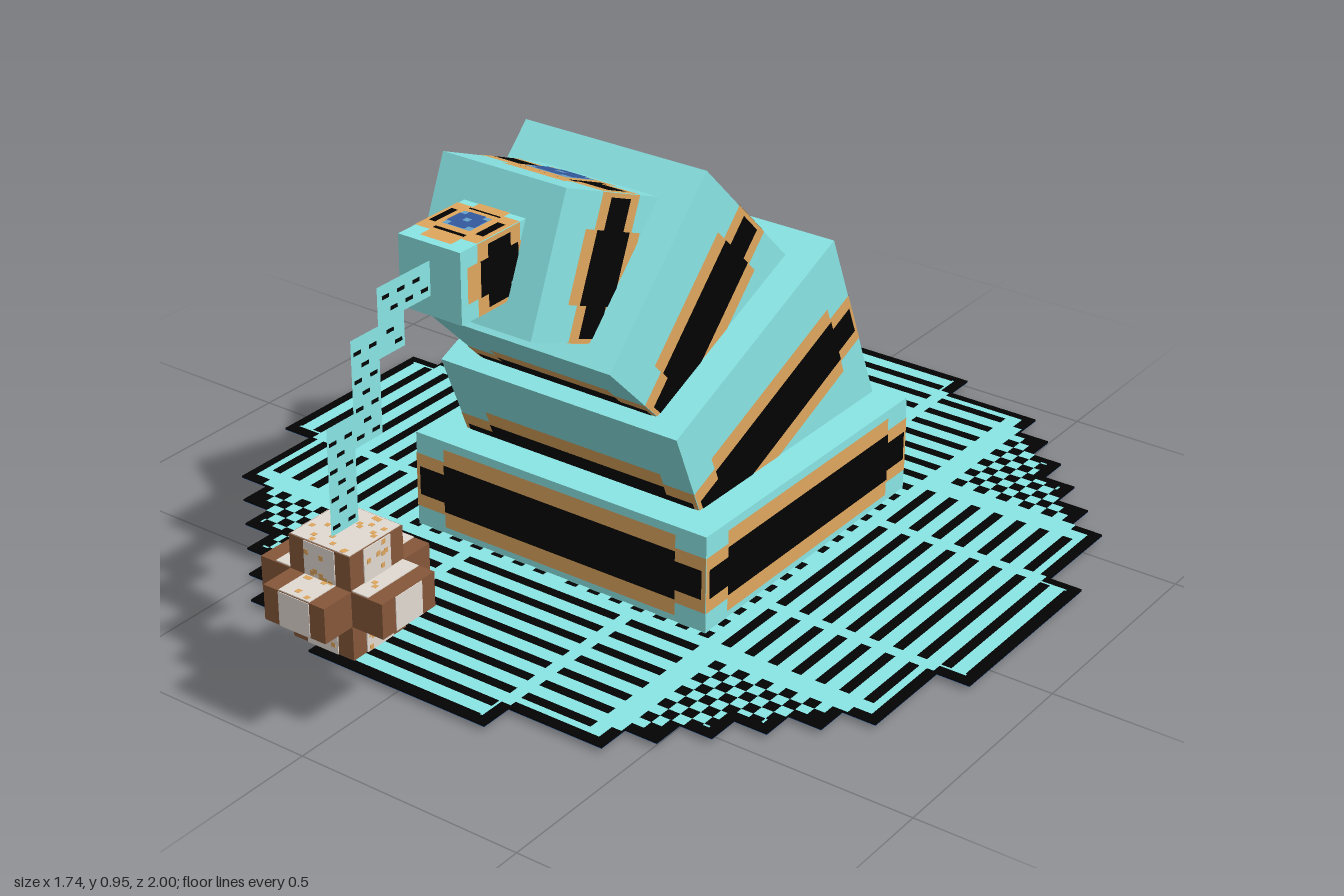
import * as THREE from 'three';
import { mergeGeometries } from 'three/addons/utils/BufferGeometryUtils.js';

const P = 0.03625; // one grid cell
const PIT = 0.285; // half width of the hollow under the base
const colours = {
  teal: 0x8ae5e5, black: 0x030303, orange: 0xe0a75e, blue: 0x33599e, lightBlue: 0x66a3cc,
  brown: 0x85573a, cream: 0xe2dbd2, navy: 0x2b5288, green: 0x6ade92, grey: 0x43454f,
};
const mats = {};

// Collects pieces by colour and joins them into one mesh per colour
class Part {
  constructor(name) {
    this.group = new THREE.Group();
    this.group.name = name;
    this.bins = {};
  }
  add(colour, geometry) {
    (this.bins[colour] ??= []).push(geometry);
  }
  box(colour, w, h, d, x, y, z) {
    this.add(colour, new THREE.BoxGeometry(w, h, d).translate(x, y, z));
  }
  // horizontal rectangle, facing up or down
  flat(colour, x0, x1, z0, z1, y, up = true) {
    this.add(colour, new THREE.PlaneGeometry(x1 - x0, z1 - z0)
      .rotateX(up ? -Math.PI / 2 : Math.PI / 2).translate((x0 + x1) / 2, y, (z0 + z1) / 2));
  }
  build(parent) {
    for (const [colour, list] of Object.entries(this.bins)) {
      const mesh = new THREE.Mesh(mergeGeometries(list), mats[colour]);
      mesh.name = this.group.name + colour[0].toUpperCase() + colour.slice(1);
      this.group.add(mesh);
    }
    parent.add(this.group);
    return this.group;
  }
}

// Square block with a striped band on its four sides and a gem at the back.
// Origin is the middle of the top cap; w, h, gem and frontH are in cells.
function bodySegment(name, w, h, gem, tilt, y, z, parent, frontH = h) {
  const part = new Part(name);
  // the buried end is left open, and its front edge may be shorter
  const block = new THREE.BoxGeometry(w * P, h * P, w * P).translate(0, -h * P / 2, 0);
  const pos = block.attributes.position;
  const buried = tilt ? 0.5 : 0;
  for (let i = 0; i < pos.count; i++)
    if (pos.getY(i) < -0.01) pos.setY(i, -(pos.getZ(i) > 0 ? frontH : h + buried) * P);
  const index = Array.from(block.index.array);
  index.splice(18, 6);
  block.setIndex(index);
  part.add('teal', block);

  const end = Math.min(2, w / 4);
  const tall = Math.min(2.5, h / 2 - 0.4);
  const plate = (side, colour, halfW, halfH, layer, cx = 0, cy = 0) => {
    const top = cy - h / 2 + halfH;
    const bottom = Math.max(cy - h / 2 - halfH, side === 0 ? -frontH : -h);
    part.add(colour, new THREE.PlaneGeometry(2 * halfW * P, (top - bottom) * P)
      .translate(cx * P, (top + bottom) / 2 * P, w * P / 2 + layer * 0.0012)
      .rotateY(side * Math.PI / 2));
  };
  for (let side = 0; side < 4; side++) {
    plate(side, 'orange', w / 2 - end, tall, 1);
    plate(side, 'orange', w / 2, tall - 0.8, 1);
    plate(side, 'black', w / 2 - end, 1.5, 2);
    plate(side, 'black', w / 2 - 0.25, 0.9, 2);
  }
  // gem on the back face
  plate(2, 'orange', gem + 0.4, Math.min(gem + 0.4, tall), 3);
  plate(2, 'lightBlue', gem, gem, 4);
  plate(2, 'blue', gem * 0.6, gem, 5);
  plate(2, 'blue', gem, gem * 0.6, 5);
  plate(2, 'lightBlue', gem * 0.2, gem * 0.2, 6);
  const group = part.build(parent);
  group.position.set(0, y, z);
  group.rotation.x = THREE.MathUtils.degToRad(tilt);
}

// Half width, in cells, of the stepped disc at a distance from the middle
function halfWidth(d) {
  if (d < 6) return 24;
  if (d < 12) return 22;
  if (d < 20) return 2 * (16 - Math.floor(d / 2));
  return d < 22 ? 12 : d < 24 ? 6 : 0;
}

// Whether a square of the disc pattern is teal
function tealSquare(a, b) {
  const far = Math.max(a, b), near = Math.min(a, b);
  if (far < 13) return false;
  if (far === 13) return near % 2 === 0; // dotted rim round the base
  if (far === 14) return true;
  if (near >= 16) return (a + b) % 2 === 1; // chequered corners
  return far % 2 === 0 || near === 7 || near >= 14; // stripes and cross lines
}

function disc(parent) {
  const part = new Part('disc');
  for (let r = -24; r < 24; r++) {
    const d = Math.abs(r + 0.5);
    const hw = halfWidth(d) * P;
    const spans = d < 8 ? [[-hw, -PIT], [PIT, hw]] : [[-hw, hw]];
    for (const [x0, x1] of spans) {
      part.box('black', x1 - x0, 0.004, P, (x0 + x1) / 2, 0.013, (r + 0.5) * P);
      part.flat('navy', x0, x1, r * P, (r + 1) * P, 0.0098, false);
    }
  }
  // inlaid squares; stripes are a little wider than the gaps
  const T = 0.75;
  for (let r = -32; r < 32; r++) for (let c = -32; c < 32; c++) {
    const a = c < 0 ? -c - 1 : c, b = r < 0 ? -r - 1 : r;
    if (!tealSquare(a, b)) continue;
    const wide = Math.min(a, b) < 16 ? 0.08 : 0;
    const gx = a > b ? wide : 0, gz = b > a ? wide : 0;
    const limit = (n, other) => Math.min(n, halfWidth((other + 0.5) * T) - 0.6);
    const x0 = (a - gx) * T, x1 = limit((a + 1 + gx) * T, b);
    const z0 = (b - gz) * T, z1 = limit((b + 1 + gz) * T, a);
    if (x1 <= x0 || z1 <= z0) continue;
    const [xa, xb] = c < 0 ? [-x1, -x0] : [x0, x1];
    const [za, zb] = r < 0 ? [-z1, -z0] : [z0, z1];
    part.flat('teal', xa * P, xb * P, za * P, zb * P, 0.0165);
  }
  part.build(parent).position.z = -0.13;
}

// Hollow under the base: banded inner walls, a ceiling and two tiny feet
function hollow(parent) {
  const part = new Part('hollow');
  const low = 0.0098, high = 0.37;
  for (let k = 0; k < 4; k++) {
    const main = k % 2 ? 'green' : 'lightBlue';
    for (const [colour, y0, y1] of [[main, low, 0.1], ['grey', 0.1, 0.19], [main, 0.19, high]])
      part.add(colour, new THREE.PlaneGeometry(2 * PIT, y1 - y0)
        .translate(0, (y0 + y1) / 2, -PIT).rotateY(k * Math.PI / 2));
  }
  part.flat('cream', -PIT, PIT, -PIT, PIT, high, false);
  for (const s of [-1, 1]) part.box('black', 0.07, 0.012, 0.02, s * 0.255, 0.006, 0.11);
  part.build(parent).position.z = -0.13;
}

// Flat zigzag stalk in the middle plane, as [z0, z1, y0, y1], with small ticks
function stalk(parent) {
  const part = new Part('stalk');
  const pieces = [[0.6, 0.745, 0.78, 0.85], [0.675, 0.745, 0.71, 0.78],
    [0.745, 0.82, 0.56, 0.775], [0.82, 0.893, 0.41, 0.63]];
  const sheet = (colour, z0, z1, y0, y1, x) => {
    for (const s of [-1, 1])
      part.add(colour, new THREE.PlaneGeometry(z1 - z0, y1 - y0)
        .rotateY(s * Math.PI / 2).translate(s * x, (y0 + y1) / 2, (z0 + z1) / 2));
  };
  for (const [z0, z1, y0, y1] of pieces) {
    sheet('teal', z0, z1, y0, y1, 0.0004);
    let odd = false;
    for (let y = y0 + 0.014; y < y1 - 0.01; y += 0.028, odd = !odd)
      for (let z = z0 + (odd ? 0.03 : 0.008); z < z1 - 0.02; z += 0.042)
        sheet('black', z, z + 0.02, y, y + 0.008, 0.0014);
  }
  part.build(parent);
}

// Cross-shaped lure with speckled pale faces and brown edges
function lure(parent) {
  const part = new Part('lure');
  part.box('brown', 0.145, 0.215, 0.145, 0, 0, 0);
  part.box('brown', 0.29, 0.0725, 0.145, 0, 0, 0);
  part.box('brown', 0.145, 0.0725, 0.29, 0, 0, 0);
  const pale = [[0.073, 0.214, 0.149], [0.149, 0.214, 0.073], [0.14, 0.218, 0.14],
    [0.22, 0.0765, 0.14], [0.073, 0.0765, 0.288]];
  let seed = 7;
  const random = () => (seed = (seed * 16807) % 2147483647) / 2147483647;
  for (const [w, h, d] of pale) {
    part.box('cream', w, h, d, 0, 0, 0);
    // specks run right through, so they show on opposite faces
    for (let i = 0; i < 20; i++) {
      const x = (random() - 0.5) * (w - 0.012);
      const y = (random() - 0.5) * (h - 0.012);
      const z = (random() - 0.5) * (d - 0.012);
      if (h > 0.2 && w > d) part.box('orange', w + 0.001, 0.01, 0.01, 0, y, z);
      else if (h > 0.2 && d > w) part.box('orange', 0.01, 0.01, d + 0.001, x, y, 0);
      else part.box('orange', 0.01, h + 0.001, 0.01, x, 0, z);
    }
  }
  // pale middles of the four tips
  part.box('cream', 0.293, 0.07, 0.073, 0, 0, 0);
  part.box('cream', 0.073, 0.07, 0.293, 0, 0, 0);
  part.build(parent).position.set(0, 0.303, 0.855);
}

export function createModel() {
  for (const [name, color] of Object.entries(colours)) {
    mats[name] = new THREE.MeshStandardMaterial({ color, side: THREE.DoubleSide });
    mats[name].name = name;
  }
  const model = new THREE.Group();
  model.name = 'model';
  disc(model);
  hollow(model);
  // name, width, height, gem size, tilt, y and z of the top cap
  bodySegment('base', 20, 6, 2, 0, 0.23, -0.127, model);
  bodySegment('lowerBody', 16, 12, 2, 22.5, 0.528, -0.033, model, 6.2);
  bodySegment('middleBody', 12, 12, 1.4, 45, 0.7355, 0.1955, model, 6.3);
  bodySegment('upperBody', 8, 10, 1.4, 67.5, 0.82, 0.4375, model);
  bodySegment('tip', 4, 6, 0.9, 90, 0.812, 0.6, model);
  stalk(model);
  lure(model);
  return model;
}
